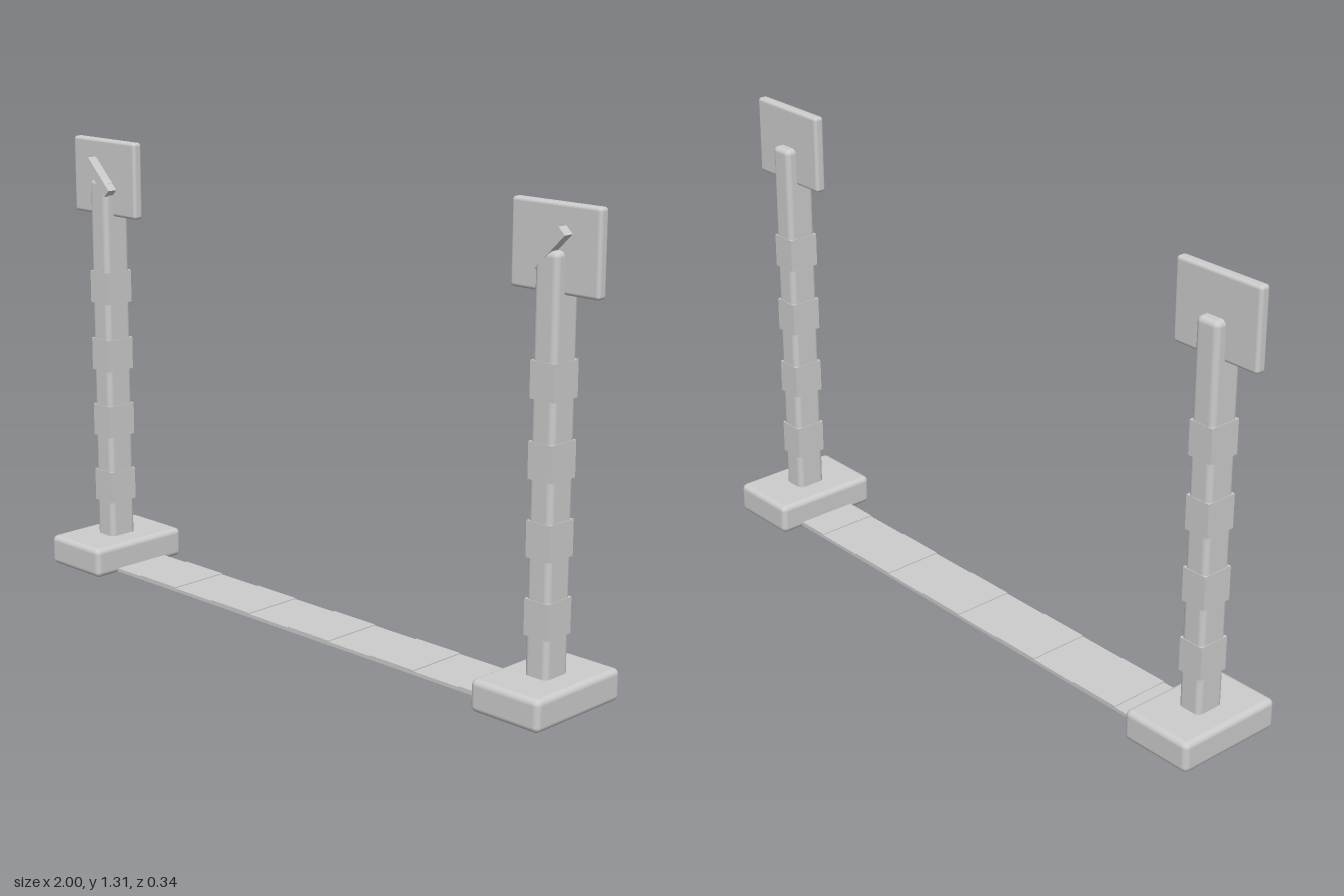
import * as THREE from 'three';
import { RoundedBoxGeometry } from 'three/addons/geometries/RoundedBoxGeometry.js';

export function createModel() {
  const model = new THREE.Group();
  const grey = new THREE.MeshStandardMaterial({ color: 0xcccccc });
  grey.name = 'light grey';

  const add = (parent, name, geometry, x, y, z) => {
    const mesh = new THREE.Mesh(geometry, grey);
    mesh.name = name;
    mesh.position.set(x, y, z);
    parent.add(mesh);
    return mesh;
  };
  const rounded = (w, h, d, r) => new RoundedBoxGeometry(w, h, d, 3, r);

  // Two mirrored signposts
  for (const side of [-1, 1]) {
    const post = new THREE.Group();
    post.name = side < 0 ? 'rightSignpost' : 'leftSignpost';
    post.position.x = side * 0.857;
    model.add(post);

    add(post, 'base', rounded(0.225, 0.09, 0.336, 0.017), 0, 0.047, 0);
    add(post, 'pole', rounded(0.074, 1.145, 0.091, 0.016), 0, 0.622, 0);

    // Sharp-edged bands around the pole
    for (const y of [0.248, 0.455, 0.661, 0.868]) {
      add(post, 'band', new THREE.BoxGeometry(0.077, 0.098, 0.094), 0, y, 0);
    }

    // Panel with a slanted bar on its front
    add(post, 'panel', rounded(0.28, 0.227, 0.032, 0.01), side * 0.003, 1.198, 0);
    const bar = add(post, 'slantedBar', new THREE.BoxGeometry(0.13, 0.028, 0.036), side * 0.002, 1.202, 0.028);
    bar.rotation.z = side * Math.PI / 4;
  }

  // Ground strip of slats at alternating heights
  const strip = new THREE.Group();
  strip.name = 'groundStrip';
  model.add(strip);
  const count = 10, width = 0.16;
  for (let i = 0; i < count; i++) {
    const height = i % 2 ? 0.013 : 0.01;
    add(strip, 'slat', new THREE.BoxGeometry(width, height, 0.187), (i - (count - 1) / 2) * width, 0.008 + height / 2, -0.004);
  }
  return model;
}
